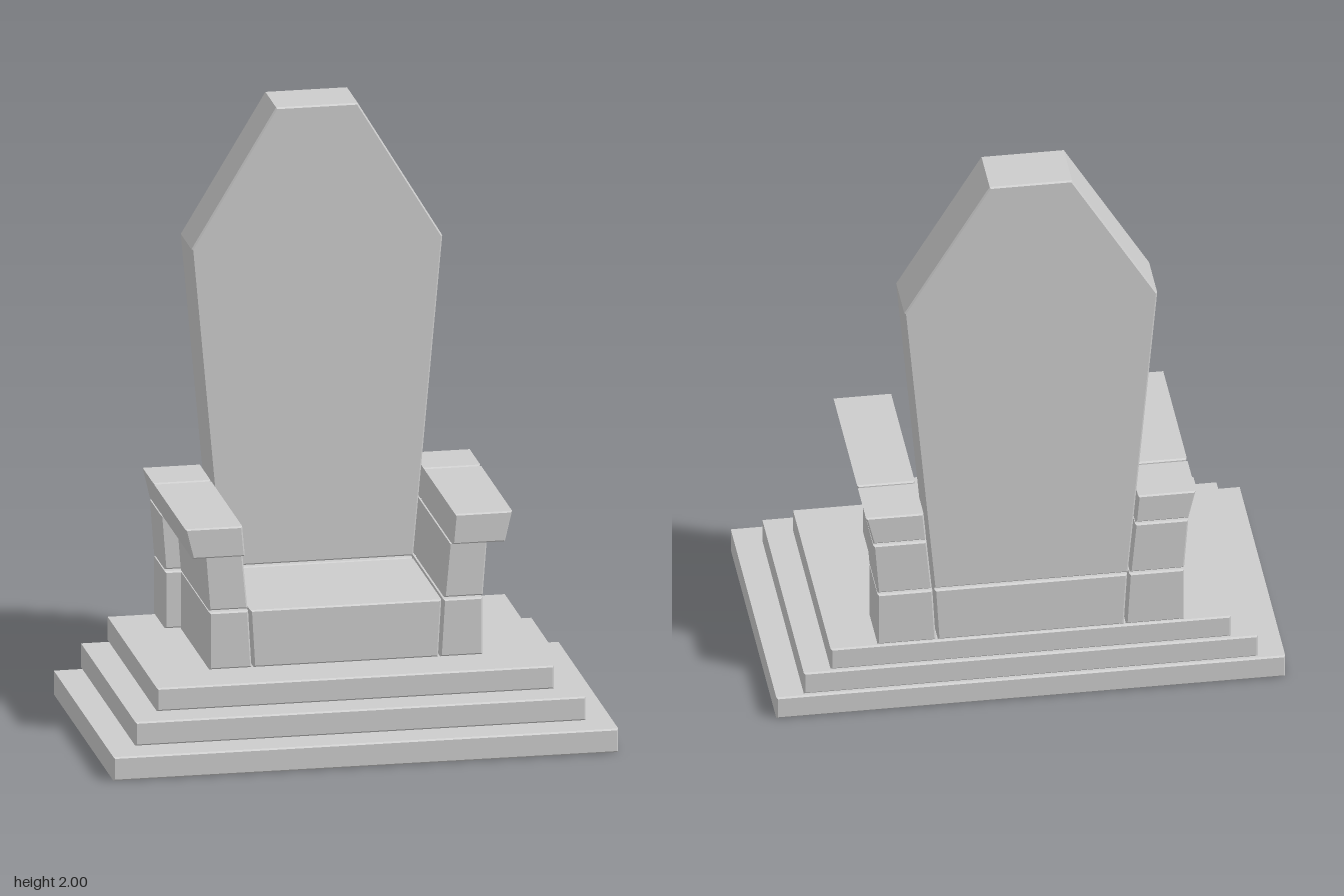
import * as THREE from 'three';

const BACK = -0.503;    // shared rear plane
const SPLIT = -0.315;   // joint between rear and front blocks
const BEVEL = 0.005;

export function createModel() {
  const group = new THREE.Group();
  group.name = 'stoneThrone';
  const material = new THREE.MeshStandardMaterial({ color: 0xcccccc, flatShading: true });

  // Bevelled stone block: an outline in x/y, extruded from z0 to z1
  function block(name, points, z0, z1) {
    const shape = new THREE.Shape(points.map(([x, y]) => new THREE.Vector2(x, y)));
    const geometry = new THREE.ExtrudeGeometry(shape, {
      depth: z1 - z0 - 2 * BEVEL,
      bevelEnabled: true,
      bevelThickness: BEVEL,
      bevelSize: BEVEL,
      bevelOffset: -BEVEL,
      bevelSegments: 1,
    });
    geometry.translate(0, 0, z0 + BEVEL);
    const mesh = new THREE.Mesh(geometry, material);
    mesh.name = name;
    group.add(mesh);
  }

  // Outline symmetric about x = 0, given its right half from bottom to top
  const symmetric = (half) => [...half, ...half.map(([x, y]) => [-x, y]).reverse()];

  // Same block on both sides of the throne
  function pair(name, points, z0, z1) {
    block(name + 'Left', points, z0, z1);
    block(name + 'Right', points.map(([x, y]) => [-x, y]).reverse(), z0, z1);
  }

  // Stepped platform
  [
    ['bottomStep', 0.835, 0, 0.08, 0.503],
    ['middleStep', 0.745, 0.087, 0.167, 0.412],
    ['topStep', 0.657, 0.174, 0.252, 0.327],
  ].forEach(([name, w, y0, y1, front]) =>
    block(name, symmetric([[w, y0], [w, y1]]), BACK, front));

  // Seat and the panel behind it
  const seatOutline = symmetric([[0.305, 0.256], [0.316, 0.449]]);
  block('seat', seatOutline, SPLIT + 0.002, 0.167);
  block('lowerBackPanel', seatOutline, BACK, SPLIT - 0.002);

  // Tall tapered backrest with a clipped crown
  block('backrest', symmetric([[0.318, 0.456], [0.415, 1.535], [0.135, 2]]), BACK, SPLIT);

  // Lower arm blocks: narrower in front, wider at the rear
  const lower = (w) => [[0.312, 0.256], [w, 0.256], [w, 0.449], [0.323, 0.449]];
  pair('lowerArmFront', lower(0.452), SPLIT + 0.006, 0.167);
  pair('lowerArmRear', lower(0.503), BACK, SPLIT - 0.002);

  // Upper arm blocks, leaning outward
  const upper = (w) => [[0.325, 0.456], [w, 0.456], [w + 0.014, 0.641], [0.342, 0.641]];
  pair('upperArmFront', upper(0.453), SPLIT + 0.006, 0.167);
  pair('upperArmRear', upper(0.503), BACK, SPLIT - 0.002);

  // Flared armrest caps
  const cap = [[0.343, 0.648], [0.517, 0.648], [0.541, 0.75], [0.352, 0.75]];
  pair('armrest', cap, SPLIT + 0.006, 0.215);
  pair('armrestRear', cap, BACK, SPLIT - 0.002);

  return group;
}
